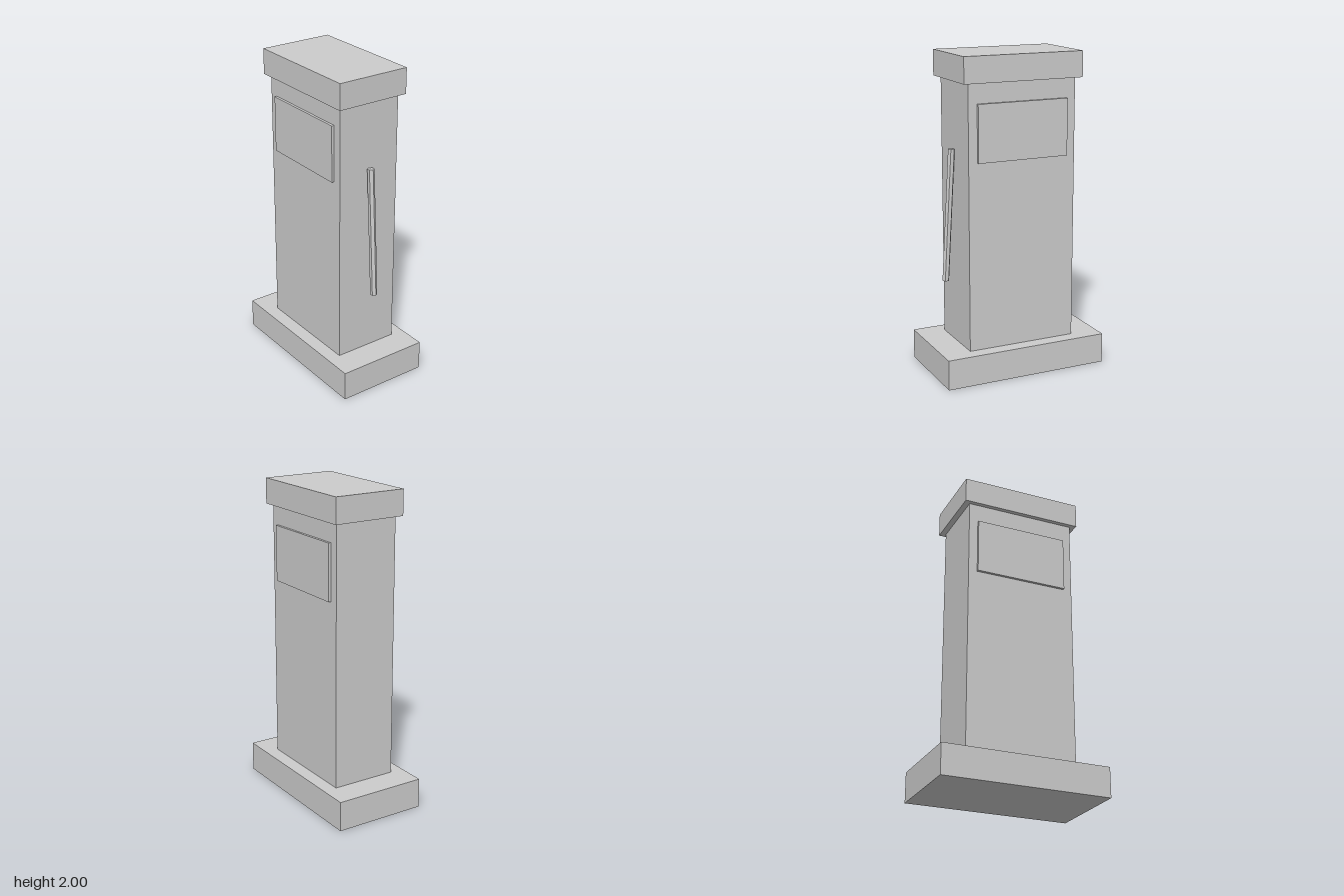
import * as THREE from 'three';

export function createModel() {
  const model = new THREE.Group();
  model.name = 'pillar';
  const grey = new THREE.MeshStandardMaterial({ color: 0xcccccc });
  grey.name = 'light grey';

  // Box spanning y0..y1, centred on x = 0
  const block = (name, width, depth, y0, y1, z = 0) => {
    const mesh = new THREE.Mesh(new THREE.BoxGeometry(width, y1 - y0, depth), grey);
    mesh.name = name;
    mesh.position.set(0, (y0 + y1) / 2, z);
    model.add(mesh);
  };

  block('base', 1.066, 0.592, 0, 0.19);
  block('body', 0.706, 0.417, 0.19, 1.84);
  block('cap', 0.78, 0.473, 1.84, 2);

  // Raised panels on front and back
  block('frontPanel', 0.592, 0.03, 1.365, 1.718, 0.21);
  block('backPanel', 0.592, 0.03, 1.365, 1.718, -0.21);

  // Slanted six-sided lever on the left side, one edge pointing outwards
  const top = new THREE.Vector3(0.375, 1.422, 0);
  const bottom = new THREE.Vector3(0.424, 0.597, 0);
  const axis = top.clone().sub(bottom);
  const rod = new THREE.CylinderGeometry(0.022, 0.022, axis.length(), 6).toNonIndexed();
  rod.rotateY(Math.PI / 2);
  rod.computeVertexNormals();
  const lever = new THREE.Mesh(rod, grey);
  lever.name = 'lever';
  lever.position.copy(top).add(bottom).multiplyScalar(0.5);
  lever.quaternion.setFromUnitVectors(new THREE.Vector3(0, 1, 0), axis.normalize());
  model.add(lever);

  return model;
}
